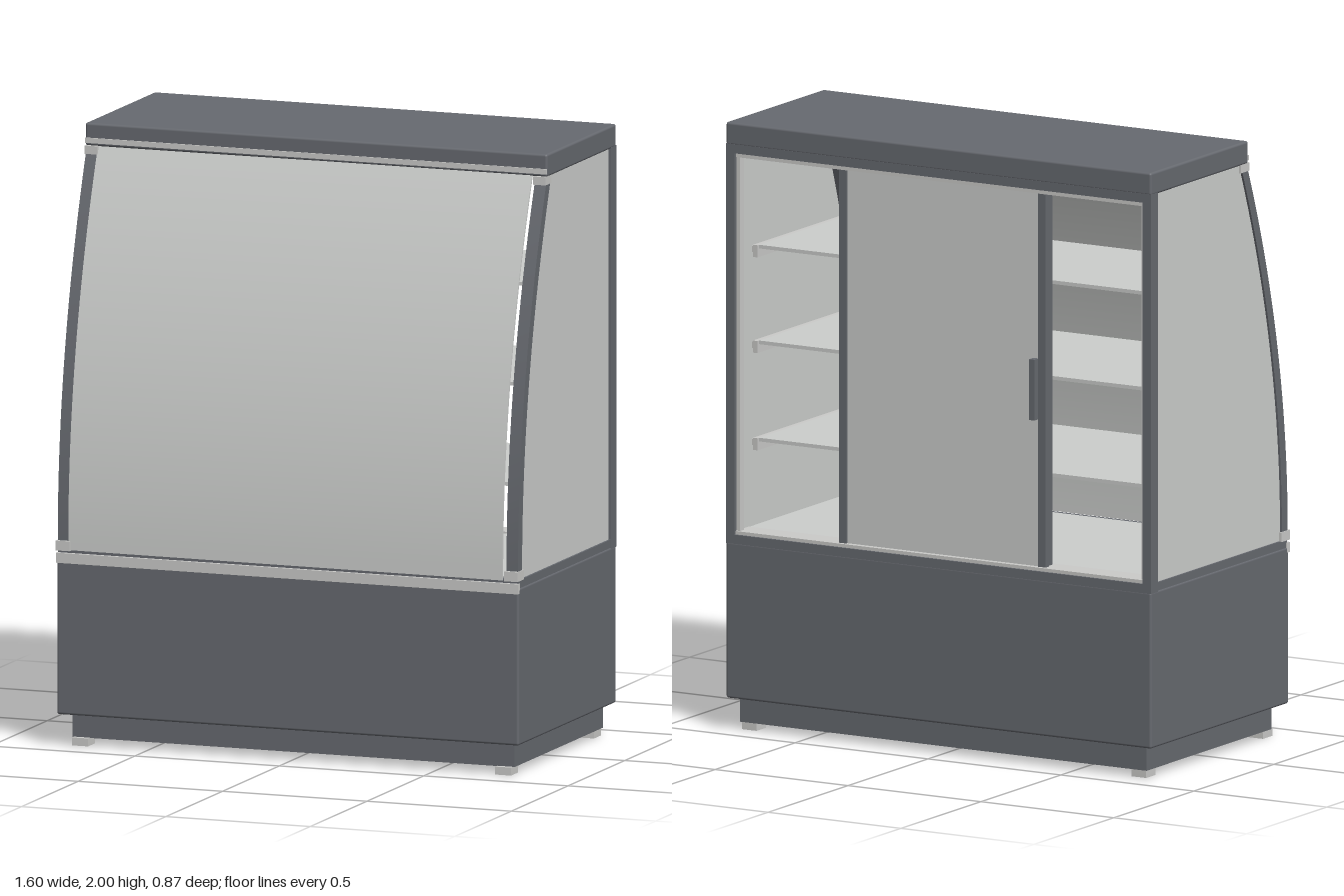
import * as THREE from 'three';
import { toCreasedNormals } from 'three/addons/utils/BufferGeometryUtils.js';
import { RoundedBoxGeometry } from 'three/addons/geometries/RoundedBoxGeometry.js';

const mat = (name, color) => {
  const m = new THREE.MeshStandardMaterial({ color });
  m.name = name;
  return m;
};

export function createModel() {
  const model = new THREE.Group();
  model.name = 'displayCase';
  const dark = mat('darkGreyPanel', 0x676a70);
  const glass = mat('paleGlass', 0xcdcfcd);
  const metal = mat('lightMetal', 0xcbcbc9);

  const add = (name, geometry, material, parent = model) => {
    const mesh = new THREE.Mesh(geometry, material);
    mesh.name = name;
    parent.add(mesh);
    return mesh;
  };
  // Box given by its lower and upper limits on each axis
  const box = (name, material, [x0, x1], [y0, y1], [z0, z1], radius = 0, parent = model) => {
    const size = [x1 - x0, y1 - y0, z1 - z0];
    const g = radius ? new RoundedBoxGeometry(...size, 2, radius) : new THREE.BoxGeometry(...size);
    g.translate((x0 + x1) / 2, (y0 + y1) / 2, (z0 + z1) / 2);
    return add(name, g, material, parent);
  };
  // The same box on both sides
  const pair = (name, material, [x0, x1], y, z) => {
    box(name + 'Left', material, [x0, x1], y, z);
    box(name + 'Right', material, [-x1, -x0], y, z);
  };
  // Outline in (z, y) extruded across x
  const acrossX = (points, x0, x1) => {
    const g = new THREE.ExtrudeGeometry(new THREE.Shape(points), { depth: x1 - x0, bevelEnabled: false });
    g.rotateY(-Math.PI / 2);
    g.translate(x1, 0, 0);
    return toCreasedNormals(g, 0.4);
  };

  // Front curve, bowed out at the bottom and leaning back to the roof
  const bow = new THREE.QuadraticBezierCurve(
    new THREE.Vector2(0.424, 0.645), new THREE.Vector2(0.43, 1.27), new THREE.Vector2(0.166, 1.928));
  const bowPoints = (dz) => bow.getPoints(24).map((p) => new THREE.Vector2(p.x + dz, p.y));
  const band = (inner, outer) => [...bowPoints(outer), ...bowPoints(inner).reverse()];
  const bowZ = (y) => bow.getPoints(60).reduce((a, b) => (Math.abs(b.y - y) < Math.abs(a.y - y) ? b : a)).x;

  // Base, plinth and feet
  box('base', dark, [-0.8, 0.8], [0.105, 0.62], [-0.435, 0.427], 0.008);
  box('baseLedge', dark, [-0.797, 0.797], [0.615, 0.645], [-0.435, 0.42]);
  box('plinth', dark, [-0.765, 0.765], [0.025, 0.11], [-0.405, 0.375]);
  for (const z of [-0.37, 0.362]) pair('foot', metal, [0.705, 0.76], [0, 0.026], [z - 0.03, z + 0.03]);
  box('frontTrim', metal, [-0.8, 0.8], [0.602, 0.635], [0.415, 0.432]);

  // Roof
  box('roof', dark, [-0.8, 0.8], [1.925, 2], [-0.435, 0.175], 0.008);
  box('roofTrim', metal, [-0.798, 0.798], [1.935, 1.952], [0.165, 0.18]);

  // Curved front glass with side frames and flat end panels
  const frontGlass = add('frontGlass', acrossX(band(0, 0.007), -0.757, 0.75), glass);
  frontGlass.rotation.y = -0.006;
  const endOutline = [
    new THREE.Vector2(-0.4, 0.645), ...bowPoints(-0.03), new THREE.Vector2(-0.4, 1.928)];
  for (const [side, s] of [['Left', 1], ['Right', -1]]) {
    const span = (a, b) => (s > 0 ? [a, b] : [-b, -a]);
    add('curvedFrame' + side, acrossX(band(-0.036, 0), ...span(0.757, 0.797)), dark);
    add('endGlass' + side, acrossX(endOutline, ...span(0.782, 0.79)), glass);
  }
  pair('lowerClamp', metal, [0.752, 0.8], [0.643, 0.675], [0.38, 0.435]);
  pair('upperClamp', metal, [0.755, 0.798], [1.9, 1.927], [0.13, 0.185]);

  // Rear frame with sliding tracks
  pair('rearPost', dark, [0.768, 0.8], [0.615, 1.93], [-0.435, -0.39]);
  box('rearHeader', dark, [-0.78, 0.78], [1.9, 1.93], [-0.435, -0.36]);
  box('lowerTrack', metal, [-0.768, 0.768], [0.64, 0.656], [-0.428, -0.345]);
  box('upperTrack', metal, [-0.768, 0.768], [1.886, 1.902], [-0.425, -0.345]);
  pair('sideTrack', metal, [0.755, 0.769], [0.645, 1.9], [-0.42, -0.395]);

  // Two sliding doors, pushed together at the middle
  const door = (name, x, z) => {
    const group = new THREE.Group();
    group.name = name;
    model.add(group);
    box('doorPanel', glass, [x - 0.375, x + 0.375], [0.656, 1.888], [z - 0.004, z + 0.004], 0, group);
    for (const e of [x - 0.375, x + 0.375])
      box('doorStile', dark, [e - 0.014, e + 0.014], [0.656, 1.888], [z - 0.011, z + 0.011], 0, group);
    return group;
  };
  const outerDoor = door('outerDoor', -0.003, -0.405);
  door('innerDoor', 0.003, -0.375);
  box('doorHandle', dark, [-0.362, -0.342], [1.14, 1.34], [-0.436, -0.405], 0, outerDoor);

  // Display deck and three shelves on end brackets
  box('deck', glass, [-0.78, 0.78], [0.64, 0.65], [-0.35, 0.385]);
  for (const y of [0.95, 1.27, 1.585]) {
    const front = bowZ(y) - 0.07;
    box('shelf', glass, [-0.735, 0.735], [y - 0.012, y], [-0.335, front]);
    pair('shelfBracket', metal, [0.735, 0.752], [y - 0.04, y], [-0.345, front]);
    pair('shelfPin', metal, [0.75, 0.784], [y - 0.035, y - 0.015], [-0.3, -0.28]);
    pair('shelfPin', metal, [0.75, 0.784], [y - 0.035, y - 0.015], [front - 0.06, front - 0.04]);
  }
  return model;
}
